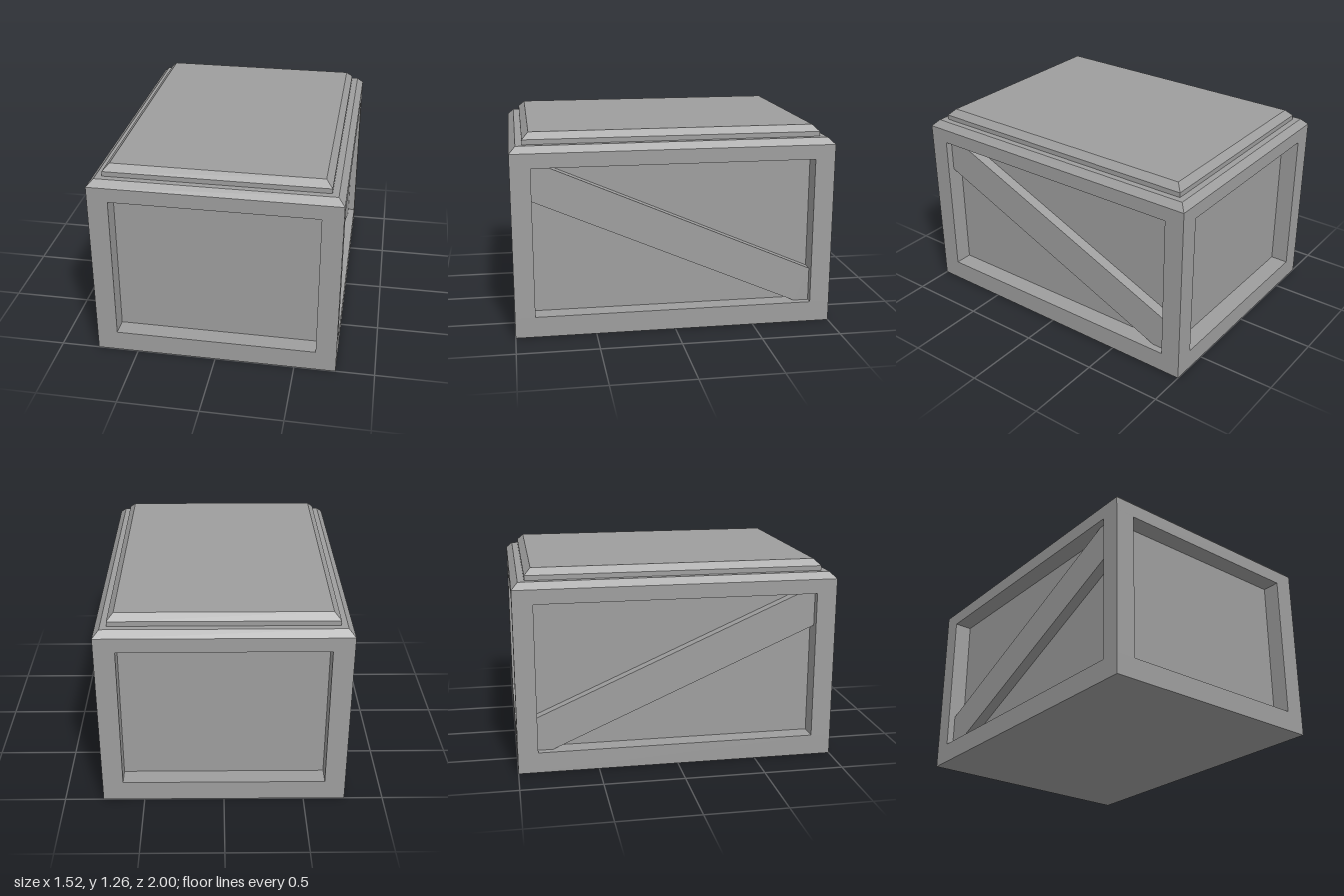
import * as THREE from 'three';

const HX = 0.759, HZ = 1;            // outer half width and half length
const PX = 0.631, PZ = 0.875;        // half size of the panel openings
const Y0 = 0.13, Y1 = 1.065;         // bottom and top of the openings
const RECESS = 0.115, BRACE_INSET = 0.045;

const material = new THREE.MeshStandardMaterial({ color: 0x9e9e9e, flatShading: true });

function addMesh(group, name, geometry, x = 0, y = 0, z = 0) {
  const mesh = new THREE.Mesh(geometry, material);
  mesh.name = name;
  mesh.position.set(x, y, z);
  group.add(mesh);
}

// Stack of rectangles [halfX, halfZ, y], joined by flat faces and capped.
function rectLoft(levels) {
  const rings = levels.map(([x, z, y]) => [[x, y, z], [x, y, -z], [-x, y, -z], [-x, y, z]]);
  const pos = [];
  const quad = (a, b, c, d) => pos.push(...a, ...b, ...c, ...a, ...c, ...d);
  for (let r = 0; r < rings.length - 1; r++) {
    for (let i = 0; i < 4; i++) {
      const j = (i + 1) % 4;
      quad(rings[r][i], rings[r][j], rings[r + 1][j], rings[r + 1][i]);
    }
  }
  const [a, b, c, d] = rings[0];
  quad(d, c, b, a);
  quad(...rings[rings.length - 1]);
  const geometry = new THREE.BufferGeometry();
  geometry.setAttribute('position', new THREE.Float32BufferAttribute(pos, 3));
  geometry.computeVertexNormals();
  return geometry;
}

export function createModel() {
  const crate = new THREE.Group();
  crate.name = 'crate';
  const h = Y1 - Y0, midY = (Y0 + Y1) / 2;

  // Base slab, forming the lower rails
  addMesh(crate, 'base', rectLoft([[HX, HZ, 0], [HX, HZ, Y0]]));

  // Recessed wall panels as one inner box
  addMesh(crate, 'wallPanels',
    new THREE.BoxGeometry(2 * (HX - RECESS), h, 2 * (HZ - RECESS)), 0, midY, 0);

  // Corner posts
  const post = new THREE.BoxGeometry(HX - PX, h, HZ - PZ);
  for (const sx of [-1, 1]) {
    for (const sz of [-1, 1]) {
      addMesh(crate, 'cornerPost', post, sx * (HX + PX) / 2, midY, sz * (HZ + PZ) / 2);
    }
  }

  // Upper rails and lid: two bevelled steps
  addMesh(crate, 'lid', rectLoft([
    [HX, HZ, Y1], [HX, HZ, 1.155], [0.719, 0.96, 1.195],
    [0.68, 0.92, 1.195], [0.68, 0.92, 1.225], [0.64, 0.88, 1.265],
  ]));

  // Diagonal braces, high at the front, cut off by the opening
  const outline = [[PZ, 0.852], [PZ, Y1], [0.785, Y1], [-PZ, 0.342], [-PZ, Y0], [-0.78, Y0]];
  const shape = new THREE.Shape(outline.map(([z, y]) => new THREE.Vector2(-z, y)));
  const depth = RECESS - BRACE_INSET;
  const brace = new THREE.ExtrudeGeometry(shape, { depth, bevelEnabled: false });
  brace.rotateY(Math.PI / 2); // outline now lies in the side plane, thickness along +x
  addMesh(crate, 'leftBrace', brace, HX - RECESS);
  addMesh(crate, 'rightBrace', brace, -HX + BRACE_INSET);

  return crate;
}
